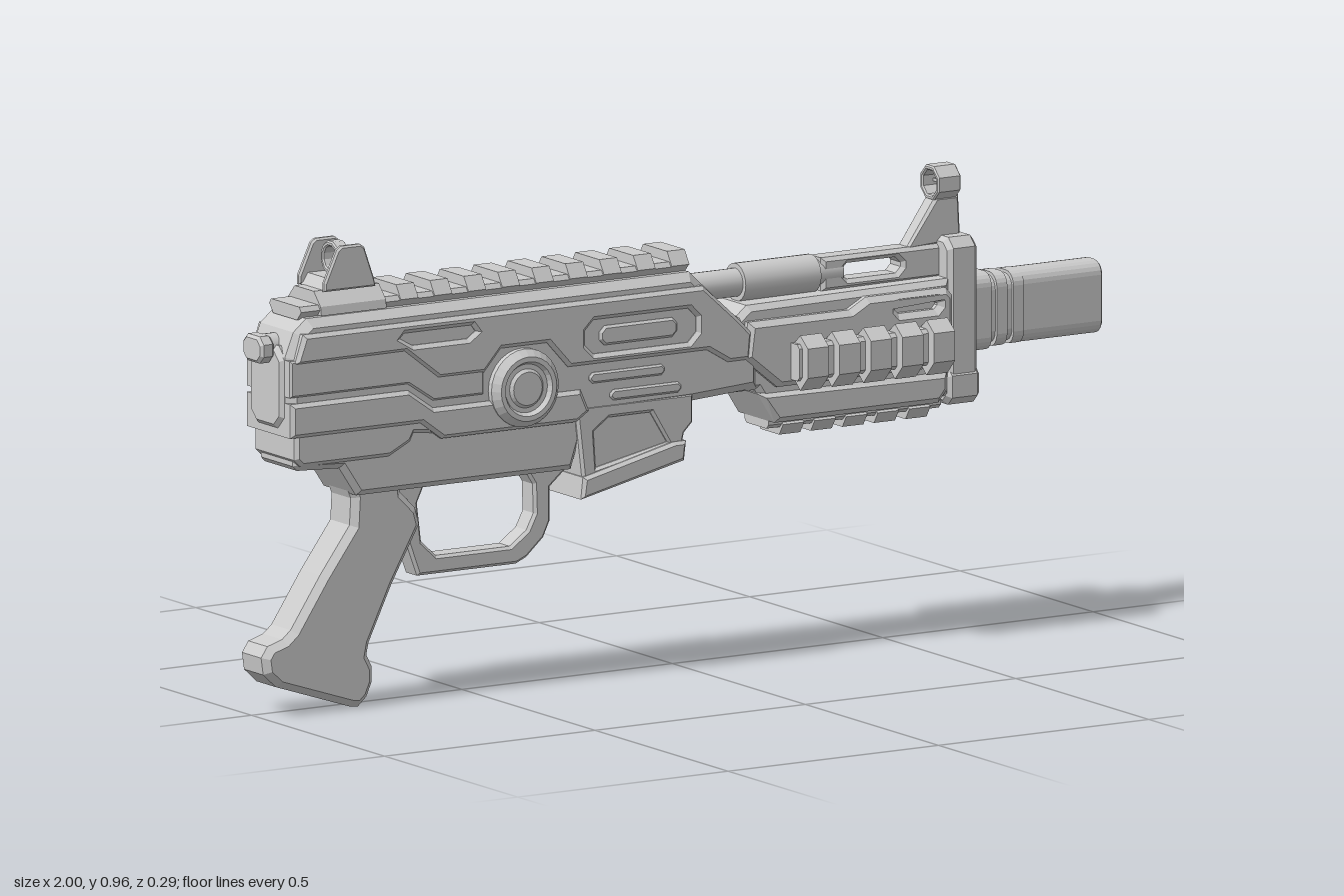
import * as THREE from 'three';

const gunmetal = new THREE.MeshStandardMaterial({ color: 0xcccccc });
gunmetal.name = 'light gunmetal grey';

function trace(path, pts) {
  pts.forEach(([x, y], i) => (i ? path.lineTo(x, y) : path.moveTo(x, y)));
  path.closePath();
  return path;
}

// Side profile extruded across z from z0 to z1, edges chamfered inside the outline
function slab(pts, z0, z1, bevel = 0.01, holes = []) {
  const shape = trace(new THREE.Shape(), pts);
  holes.forEach(h => shape.holes.push(trace(new THREE.Path(), h)));
  const geo = new THREE.ExtrudeGeometry(shape, {
    depth: z1 - z0 - 2 * bevel, bevelEnabled: bevel > 0, bevelSegments: 1,
    bevelSize: bevel, bevelThickness: bevel, bevelOffset: -bevel,
  });
  return geo.translate(0, 0, z0 + bevel);
}

// Cross-section in (z, y) extruded along x
function bar(pts, x0, x1, bevel = 0, holes = []) {
  const flip = p => p.map(([z, y]) => [-z, y]).reverse();
  return slab(flip(pts), x0, x1, bevel, holes.map(flip)).rotateY(Math.PI / 2);
}

// Rectangle outline with corners cut by r
const cutRect = (a, b, c, d, r) => [
  [a + r, b], [c - r, b], [c, b + r], [c, d - r],
  [c - r, d], [a + r, d], [a, d - r], [a, b + r]];

// Rectangle outline with round corners
function roundRect(w, h, r, cy, n = 5) {
  const pts = [];
  [[1, 1], [-1, 1], [-1, -1], [1, -1]].forEach(([sx, sy], q) => {
    for (let i = 0; i <= n; i++) {
      const a = (q + i / n) * Math.PI / 2;
      pts.push([sx * (w - r) + r * Math.cos(a), cy + sy * (h - r) + r * Math.sin(a)]);
    }
  });
  return pts;
}

const ring = (r, cx, cy, n) => Array.from({ length: n }, (_, i) => {
  const a = (i + 0.5) / n * Math.PI * 2;
  return [cx + r * Math.cos(a), cy + r * Math.sin(a)];
});

const rod = (r, x0, x1, y) =>
  new THREE.CylinderGeometry(r, r, x1 - x0, 20).rotateZ(Math.PI / 2).translate((x0 + x1) / 2, y, 0);

export function createModel() {
  const model = new THREE.Group();
  const add = (name, geo) => {
    const mesh = new THREE.Mesh(geo, gunmetal);
    mesh.name = name;
    model.add(mesh);
  };
  const wide = (name, pts, half, bevel, holes) => add(name, slab(pts, -half, half, bevel, holes));

  // Receiver core and lower frame
  wide('receiver', [[-0.96, 0.58], [-0.6, 0.54], [0.0, 0.55], [0.16, 0.56], [0.16, 0.68], [0.1, 0.72],
    [0.0, 0.815], [-0.91, 0.815], [-0.94, 0.79], [-0.96, 0.74]], 0.08, 0.018);
  wide('lowerFrame', [[-0.94, 0.6], [-0.94, 0.515], [-0.93, 0.505], [-0.83, 0.5], [-0.79, 0.44], [-0.28, 0.44],
    [-0.26, 0.5], [-0.26, 0.6]], 0.072, 0.012);
  wide('lowerFrameLip', [[-0.945, 0.6], [-0.945, 0.53], [-0.93, 0.515], [-0.72, 0.515], [-0.67, 0.54],
    [-0.64, 0.6]], 0.08, 0.008);

  // Raised side armour
  wide('upperArmour', [[-0.95, 0.727], [-0.69, 0.727], [-0.61, 0.665], [-0.5, 0.665], [-0.46, 0.71],
    [-0.35, 0.71], [-0.3, 0.655], [0.03, 0.655], [0.08, 0.625], [0.13, 0.625], [0.135, 0.68],
    [0.1, 0.715], [0.02, 0.787], [-0.93, 0.787]], 0.09, 0.008, [
    cutRect(-0.26, 0.675, 0.005, 0.745, 0.02),
    [[-0.7, 0.755], [-0.67, 0.738], [-0.54, 0.738], [-0.52, 0.752], [-0.53, 0.765], [-0.69, 0.765]],
  ]);
  wide('rearBand', [[-0.96, 0.735], [-0.69, 0.735], [-0.61, 0.675], [-0.5, 0.675], [-0.5, 0.62],
    [-0.62, 0.62], [-0.68, 0.66], [-0.96, 0.66]], 0.084, 0.004);
  wide('lowerArmour', [[-0.96, 0.647], [-0.68, 0.647], [-0.62, 0.605], [-0.27, 0.605], [-0.25, 0.56],
    [-0.28, 0.54], [-0.6, 0.54], [-0.65, 0.577], [-0.96, 0.577]], 0.089, 0.008);
  wide('portCover', cutRect(-0.225, 0.69, -0.04, 0.73, 0.012), 0.086, 0.005);
  wide('upperVent', cutRect(-0.25, 0.615, -0.07, 0.637, 0.008), 0.086, 0.004);
  wide('lowerVent', cutRect(-0.2, 0.575, -0.03, 0.597, 0.008), 0.085, 0.004);

  // Round side hubs, turned from a stepped profile
  for (const s of [-1, 1]) {
    const profile = [[0.08, 0.06], [0.08, 0.092], [0.066, 0.107], [0.056, 0.107], [0.05, 0.097],
      [0.04, 0.097], [0.034, 0.103], [0, 0.103]].map(([r, h]) => new THREE.Vector2(r, h));
    const hub = new THREE.LatheGeometry(profile, 28).toNonIndexed();
    hub.computeVertexNormals();
    add('sideHub', hub.rotateX(s * Math.PI / 2).translate(-0.408, 0.625, 0));
  }

  // Rear plate and plug
  add('rearPlate', bar(cutRect(-0.062, 0.59, 0.062, 0.76, 0.025), -0.968, -0.93, 0.01));
  add('rearPlug', rod(0.028, -0.985, -0.9, 0.752));
  add('rearPlugCap', bar(cutRect(-0.037, 0.725, 0.037, 0.78, 0.015), -1.0, -0.967, 0.006));

  // Grip with a flared butt
  wide('grip', [[-0.82, 0.52], [-0.8, 0.46], [-0.787, 0.43], [-0.79, 0.375], [-0.86, 0.28],
    [-0.93, 0.175], [-0.95, 0.158], [-0.985, 0.147], [-1.0, 0.125], [-0.995, 0.09], [-0.965, 0.062],
    [-0.79, 0.004], [-0.77, 0.002], [-0.75, 0.02], [-0.737, 0.05], [-0.737, 0.08], [-0.75, 0.105],
    [-0.745, 0.13], [-0.69, 0.245], [-0.625, 0.36], [-0.635, 0.395], [-0.67, 0.43], [-0.68, 0.52]], 0.05, 0.014);

  // Trigger guard loop
  wide('triggerGuard', [[-0.7, 0.46], [-0.66, 0.36], [-0.62, 0.251], [-0.385, 0.251], [-0.36, 0.262], [-0.32, 0.298],
    [-0.305, 0.33], [-0.305, 0.4], [-0.27, 0.43], [-0.27, 0.47]], 0.026, 0.006,
    [[[-0.6, 0.442], [-0.62, 0.4], [-0.61, 0.32], [-0.575, 0.288], [-0.4, 0.288], [-0.36, 0.317],
      [-0.343, 0.35], [-0.345, 0.41], [-0.365, 0.442]]]);

  // Magazine well, its raised frame and base flange
  const well = [[-0.28, 0.57], [-0.26, 0.4], [-0.03, 0.45], [-0.02, 0.49], [0.0, 0.51], [0.0, 0.57]];
  wide('magazineWell', well, 0.072, 0.01);
  wide('magazineFrame', well, 0.081, 0.006,
    [[[-0.235, 0.515], [-0.2, 0.54], [-0.1, 0.54], [-0.06, 0.475], [-0.23, 0.44]]]);
  wide('magazineBase', [[-0.27, 0.38], [-0.025, 0.435], [-0.02, 0.475], [-0.05, 0.475], [-0.265, 0.425]], 0.09, 0.007);

  // Handguard core and side shells
  wide('handguard', [[0.0, 0.555], [0.16, 0.555], [0.2, 0.495], [0.62, 0.495], [0.62, 0.735], [0.14, 0.73],
    [0.08, 0.68]], 0.068, 0.012);
  wide('handguardShell', [[0.12, 0.625], [0.2, 0.56], [0.6, 0.56], [0.615, 0.58], [0.615, 0.705],
    [0.6, 0.722], [0.41, 0.722], [0.37, 0.7], [0.13, 0.7]], 0.09, 0.012,
    [cutRect(0.48, 0.68, 0.58, 0.7, 0.008)]);
  wide('handguardLower', [[0.16, 0.548], [0.2, 0.485], [0.59, 0.485], [0.61, 0.51], [0.61, 0.548]], 0.079, 0.012);

  // Accessory rails: both sides and underneath
  const sideTooth = s => [[0.08, 0.585], [0.114, 0.555], [0.143, 0.585], [0.143, 0.645], [0.114, 0.668], [0.08, 0.64]]
    .map(([z, y]) => [s * z, y]);
  const underTooth = [[-0.03, 0.49], [-0.05, 0.475], [-0.035, 0.452], [0.035, 0.452], [0.05, 0.475], [0.03, 0.49]];
  for (const s of [-1, 1]) {
    add('sideRail', bar(cutRect(s > 0 ? 0.08 : -0.122, 0.575, s > 0 ? 0.122 : -0.08, 0.65, 0.008), 0.225, 0.59));
  }
  add('underRail', bar(cutRect(-0.045, 0.468, 0.045, 0.5, 0.008), 0.2, 0.61));
  for (let i = 0; i < 5; i++) {
    const x = 0.232 + i * 0.075;
    for (const s of [-1, 1]) add('sideRailTooth', bar(sideTooth(s), x, x + 0.05));
    add('underRailTooth', bar(underTooth, x, x + 0.05));
  }

  // Top rail
  add('topRail', bar([[-0.045, 0.81], [0.045, 0.81], [0.06, 0.828], [0.053, 0.838], [-0.053, 0.838], [-0.06, 0.828]],
    -0.92, 0.0));
  for (let i = 0; i < 9; i++) {
    const x = -0.685 + i * 0.0805;
    add('topRailTooth', bar([[-0.045, 0.815], [0.045, 0.815], [0.063, 0.83], [0.045, 0.858], [-0.045, 0.858],
      [-0.063, 0.83]], x, x + 0.042));
  }

  // Gas tube above the handguard, ending in a slotted link
  add('gasTube', rod(0.029, 0.03, 0.39, 0.767));
  add('gasSleeve', rod(0.039, 0.15, 0.33, 0.767));
  wide('gasLink', [[0.34, 0.73], [0.64, 0.73], [0.64, 0.8], [0.34, 0.8]], 0.027, 0.008,
    [cutRect(0.39, 0.75, 0.53, 0.783, 0.012)]);

  // Front block
  add('frontBlock', bar(cutRect(-0.066, 0.48, 0.066, 0.816, 0.02), 0.617, 0.688, 0.01));
  add('frontBlockFoot', bar(cutRect(-0.069, 0.475, 0.069, 0.552, 0.016), 0.612, 0.692, 0.01));

  // Muzzle: stepped collar and hollow rounded tube
  [[0.68, 0.73, 0.046, 0.08], [0.73, 0.745, 0.036, 0.07], [0.745, 0.77, 0.042, 0.076], [0.77, 0.785, 0.036, 0.069],
    [0.785, 0.81, 0.041, 0.075]].forEach(([a, b, w, h]) => add('muzzleCollar', bar(roundRect(w, h, 0.028, 0.652), a, b)));
  add('muzzleTube', bar(roundRect(0.038, 0.075, 0.028, 0.652), 0.805, 1.0, 0.004, [roundRect(0.027, 0.062, 0.02, 0.652)]));
  add('muzzleFloor', bar(roundRect(0.031, 0.066, 0.02, 0.652), 0.8, 0.88));

  // Front sight: raked post, octagonal hood and cross hairs
  wide('frontSightPost', [[0.545, 0.795], [0.615, 0.895], [0.67, 0.895], [0.675, 0.8]], 0.02, 0.006);
  add('frontSightHood', bar(ring(0.038, 0, 0.922, 8), 0.61, 0.665, 0.003, [ring(0.027, 0, 0.922, 8)]));
  add('frontSightPin', new THREE.BoxGeometry(0.012, 0.035, 0.007).translate(0.64, 0.909, 0));
  add('frontSightBar', new THREE.BoxGeometry(0.01, 0.006, 0.06).translate(0.64, 0.922, 0));

  // Rear sight: base, two wings and a peep ring
  add('rearSightBase', bar([[-0.065, 0.817], [0.065, 0.817], [0.062, 0.835], [0.036, 0.863], [-0.036, 0.863],
    [-0.062, 0.835]], -0.875, -0.72));
  wide('rearSightBlock', [[-0.855, 0.862], [-0.745, 0.862], [-0.76, 0.885], [-0.84, 0.885]], 0.05, 0.006);
  for (const s of [-1, 1]) {
    const z = s > 0 ? 0.041 : -0.055;
    add('rearSightWing', slab([[-0.86, 0.862], [-0.738, 0.862], [-0.742, 0.88], [-0.765, 0.945], [-0.775, 0.952],
      [-0.82, 0.952], [-0.83, 0.945], [-0.86, 0.88]], z, z + 0.014, 0.004));
  }
  add('rearSightPeep', bar(ring(0.036, 0, 0.918, 12), -0.815, -0.785, 0.003, [ring(0.025, 0, 0.918, 12)]));

  return model;
}
